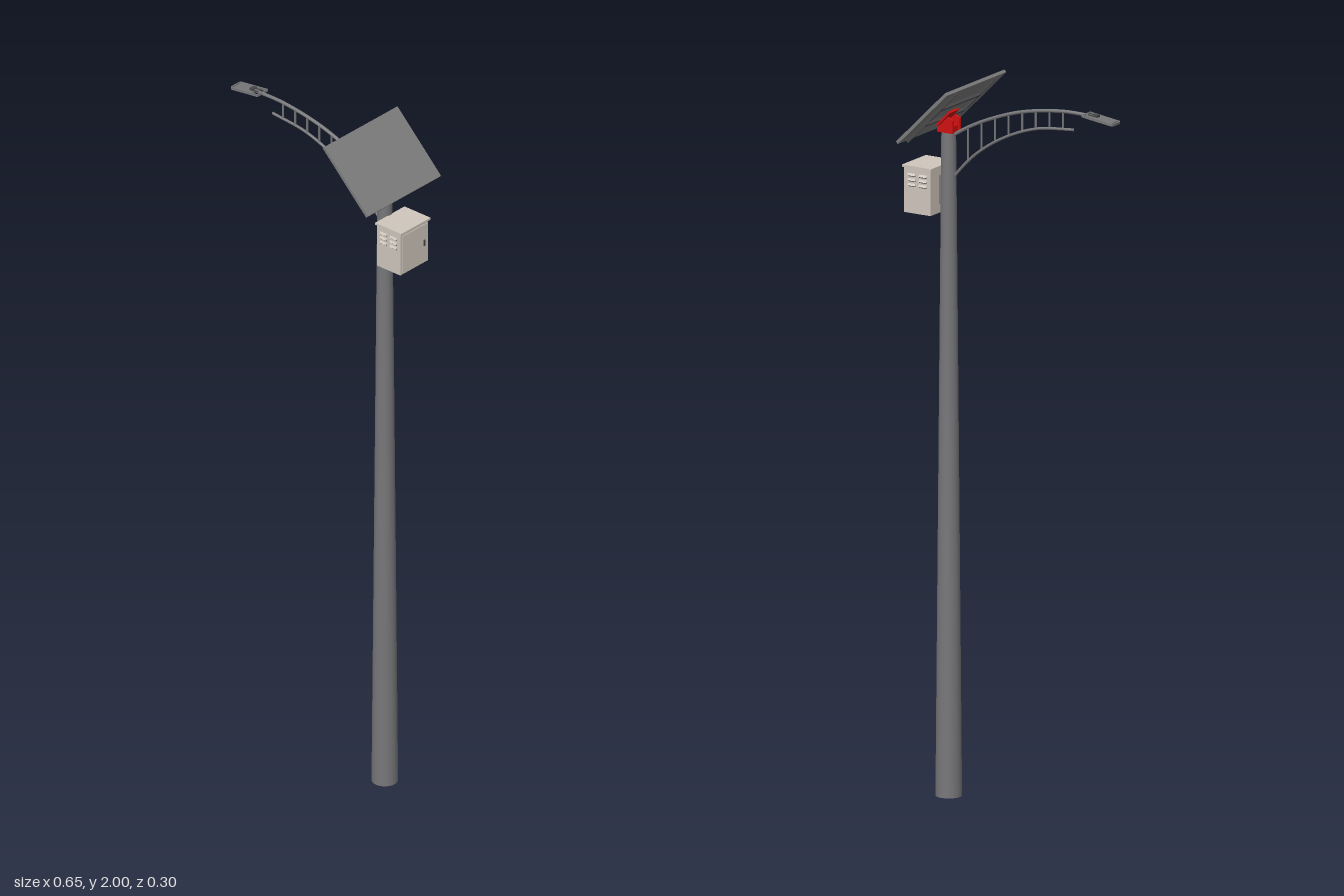
import * as THREE from 'three';

const Z = -0.012; // centre plane of pole and arm

export function createModel() {
  const mat = (name, color) => {
    const m = new THREE.MeshStandardMaterial({ color });
    m.name = name;
    return m;
  };
  const steel = mat('pole steel', 0x77777a);
  const panelGrey = mat('panel grey', 0x7c7c7c);
  const cream = mat('cabinet cream', 0xcfc6bc);
  const red = mat('bracket red', 0xd01010);
  const dark = mat('dark metal', 0x4a4a4c);

  const model = new THREE.Group();
  model.name = 'solarStreetLight';
  const add = (parent, name, geo, material, x = 0, y = 0, z = 0) => {
    const m = new THREE.Mesh(geo, material);
    m.name = name;
    m.position.set(x, y, z);
    parent.add(m);
    return m;
  };
  const box = (w, h, d) => new THREE.BoxGeometry(w, h, d);
  const group = (name, x, y, z) => {
    const g = new THREE.Group();
    g.name = name;
    g.position.set(x, y, z);
    model.add(g);
    return g;
  };

  // Tapered pole
  add(model, 'pole', new THREE.CylinderGeometry(0.02, 0.036, 1.86, 32), steel, 0.213, 0.93, Z);

  // Curved arm: two rails joined by vertical rungs
  const arm = group('arm', 0, 0, Z);
  const curve = pts => new THREE.CatmullRomCurve3(pts.map(p => new THREE.Vector3(p[0], p[1], 0)));
  const upper = curve([[0.205, 1.84], [0.15, 1.873], [0.087, 1.903], [-0.018, 1.939], [-0.15, 1.96], [-0.262, 1.96]]);
  const lower = curve([[0.205, 1.715], [0.185, 1.742], [0.124, 1.803], [0.034, 1.861], [-0.07, 1.9], [-0.19, 1.914]]);
  add(arm, 'upperRail', new THREE.TubeGeometry(upper, 40, 0.005, 10), steel);
  add(arm, 'lowerRail', new THREE.TubeGeometry(lower, 40, 0.004, 10), steel);
  const heightAt = (c, x) => {
    let lo = 0, hi = 1;
    for (let i = 0; i < 24; i++) {
      const mid = (lo + hi) / 2;
      if (c.getPoint(mid).x > x) lo = mid; else hi = mid;
    }
    return c.getPoint(lo).y;
  };
  for (let i = 0; i < 8; i++) {
    const x = -0.153 + i * 0.0435;
    const a = heightAt(lower, x), b = heightAt(upper, x);
    add(arm, 'rung', new THREE.CylinderGeometry(0.003, 0.003, b - a, 8), steel, x, (a + b) / 2, 0);
  }

  // Lamp head: rounded open frame around a flat light plate
  const lamp = group('lampHead', -0.276, 1.956, Z);
  lamp.rotation.z = 0.13;
  const outline = (s, x0, x1, h, r) => {
    s.moveTo(x1, -h);
    s.lineTo(x1, h);
    s.lineTo(x0 + r, h);
    s.quadraticCurveTo(x0, h, x0, h - r);
    s.lineTo(x0, -h + r);
    s.quadraticCurveTo(x0, -h, x0 + r, -h);
    s.closePath();
    return s;
  };
  const frame = outline(new THREE.Shape(), -0.05, 0.05, 0.0215, 0.009);
  frame.holes.push(outline(new THREE.Path(), -0.046, 0.047, 0.018, 0.006));
  const frameGeo = new THREE.ExtrudeGeometry(frame, { depth: 0.007, bevelEnabled: false });
  frameGeo.rotateX(-Math.PI / 2).translate(0, -0.0035, 0);
  add(lamp, 'lampFrame', frameGeo, steel);
  add(lamp, 'lampPlate', box(0.066, 0.005, 0.038), steel, -0.008, 0, 0);
  add(lamp, 'lampClamp', box(0.014, 0.009, 0.016), dark, 0.017, 0.005, 0);
  for (const s of [-1, 1])
    add(lamp, 'clampArm', box(0.028, 0.003, 0.003), dark, 0.026, 0.004, s * 0.006);

  // Tilted solar panel with support rails beneath
  const panel = group('solarPanel', 0.213, 1.918, 0);
  panel.rotation.z = -Math.PI / 4;
  add(panel, 'panelSheet', box(0.222, 0.009, 0.298), panelGrey);
  for (const z of [-0.105, 0.091])
    add(panel, 'supportRail', box(0.222, 0.008, 0.006), dark, 0, -0.0085, z);
  for (const x of [-0.035, 0.035])
    add(panel, 'crossRail', box(0.008, 0.008, 0.2), dark, x, -0.0085, -0.007);

  // Red saddle bracket: wedge cheeks either side of a centre block
  const wedge = new THREE.Shape([
    [0.187, 1.853], [0.237, 1.853], [0.237, 1.863], [0.204, 1.897], [0.187, 1.89],
  ].map(p => new THREE.Vector2(...p)));
  const bracket = group('panelBracket', 0, 0, Z);
  for (const s of [-1, 1])
    add(bracket, 'bracketCheek', new THREE.ExtrudeGeometry(wedge, { depth: 0.008, bevelEnabled: false }),
      red, 0, 0, s * 0.018 - 0.004);
  add(bracket, 'bracketCore', box(0.04, 0.018, 0.036), red, 0.212, 1.862, 0);
  const saddle = add(bracket, 'bracketSaddle', box(0.06, 0.006, 0.044), red, 0.217, 1.892, 0);
  saddle.rotation.z = -Math.PI / 4;

  // Battery cabinet with overhanging lid, louvres on both ends and a door
  const cabinet = group('batteryCabinet', 0.277, 1.69, Z);
  add(cabinet, 'cabinetBody', box(0.084, 0.128, 0.114), cream, 0, -0.001, 0);
  add(cabinet, 'cabinetLid', box(0.094, 0.006, 0.12), cream, 0.001, 0.064, 0);
  add(cabinet, 'cabinetDoor', box(0.003, 0.112, 0.1), cream, 0.0425, -0.003, 0);
  add(cabinet, 'doorHandle', box(0.004, 0.018, 0.006), dark, 0.045, -0.002, -0.038);
  add(cabinet, 'poleMount', box(0.03, 0.08, 0.03), steel, -0.05, 0, 0);
  // Louvre hood: open-bottomed slope, dark slot below
  const hood = new THREE.Shape([[0, 0], [0.004, 0], [0, 0.006]].map(p => new THREE.Vector2(...p)));
  const hoodGeo = new THREE.ExtrudeGeometry(hood, { depth: 0.024, bevelEnabled: false });
  hoodGeo.translate(0, 0, -0.012).rotateY(-Math.PI / 2);
  for (const side of [0, Math.PI]) {
    const vents = new THREE.Group();
    vents.name = 'louvres';
    vents.rotation.y = side;
    cabinet.add(vents);
    for (let row = 0; row < 3; row++)
      for (const x of [-0.018, 0.018]) {
        const y = 0.012 + row * 0.014;
        add(vents, 'louvreHood', hoodGeo, cream, x, y, 0.057);
        add(vents, 'louvreSlot', box(0.024, 0.003, 0.001), dark, x, y - 0.0015, 0.057);
      }
  }
  return model;
}
